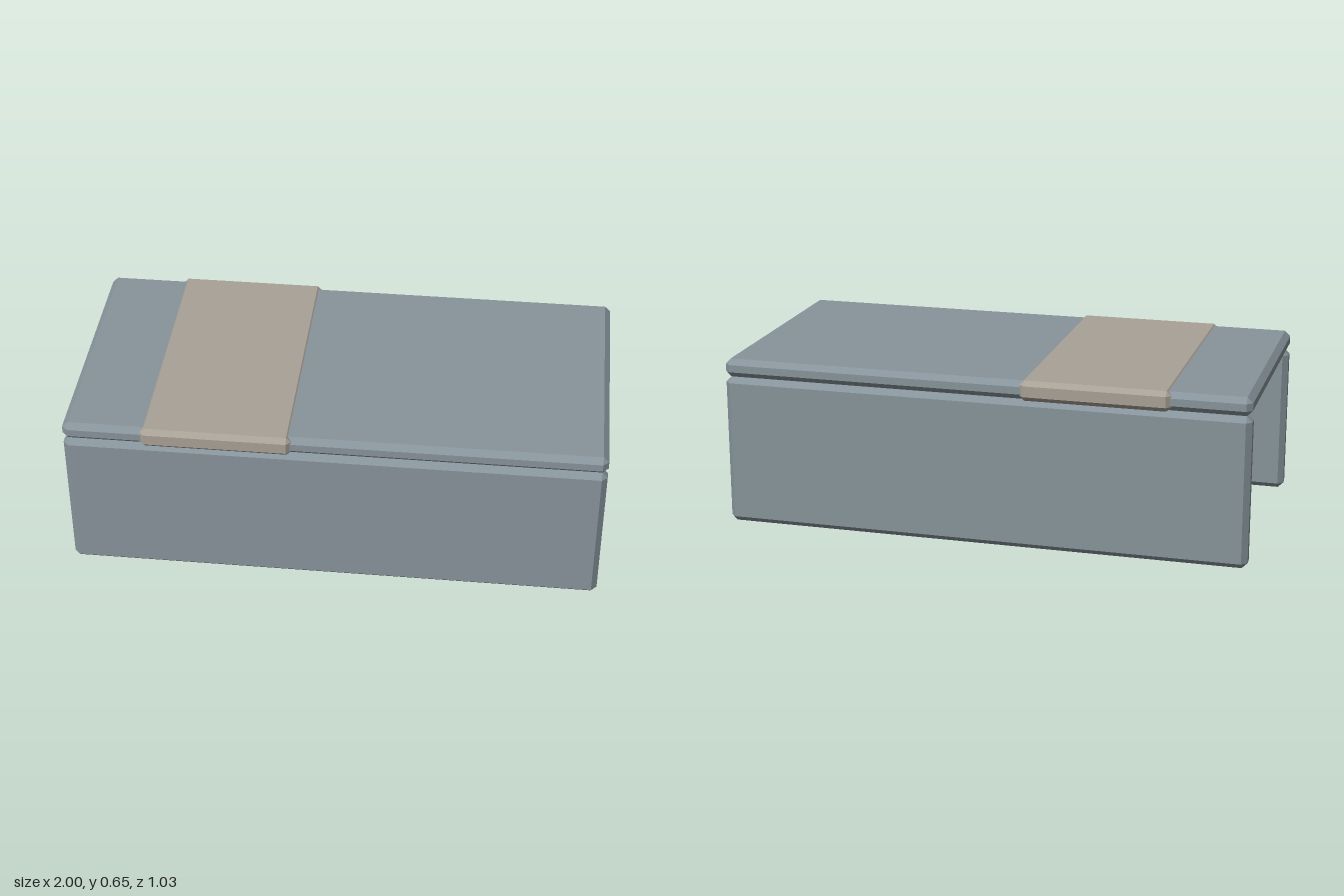
import * as THREE from 'three';
import { ConvexGeometry } from 'three/addons/geometries/ConvexGeometry.js';

// Box with every edge and corner cut by a flat chamfer
function chamferedBox(w, h, d, bevel) {
  const points = [];
  for (const sx of [-1, 1]) for (const sy of [-1, 1]) for (const sz of [-1, 1]) {
    const x = w / 2, y = h / 2, z = d / 2, b = bevel;
    points.push(
      new THREE.Vector3(sx * x, sy * (y - b), sz * (z - b)),
      new THREE.Vector3(sx * (x - b), sy * y, sz * (z - b)),
      new THREE.Vector3(sx * (x - b), sy * (y - b), sz * z)
    );
  }
  return new ConvexGeometry(points);
}

export function createModel() {
  const group = new THREE.Group();
  const slate = new THREE.MeshStandardMaterial({ color: 0x87949b, flatShading: true });
  const sand = new THREE.MeshStandardMaterial({ color: 0xa8a196, flatShading: true });

  const add = (name, material, [w, h, d], [x, y, z], bevel) => {
    const mesh = new THREE.Mesh(chamferedBox(w, h, d, bevel), material);
    mesh.name = name;
    mesh.position.set(x, y, z);
    group.add(mesh);
  };

  // Table top slab
  add('tableTop', slate, [2, 0.07, 1], [0, 0.61, 0], 0.021);

  // Full-length support panels, front and back
  for (const [name, side] of [['frontPanel', 1], ['backPanel', -1]]) {
    add(name, slate, [2, 0.574, 0.07], [0, 0.287, side * 0.465], 0.021);
  }

  // Raised band wrapped across the top
  add('runnerBand', sand, [0.56, 0.077, 1.026], [-0.43, 0.6115, 0], 0.018);

  return group;
}
